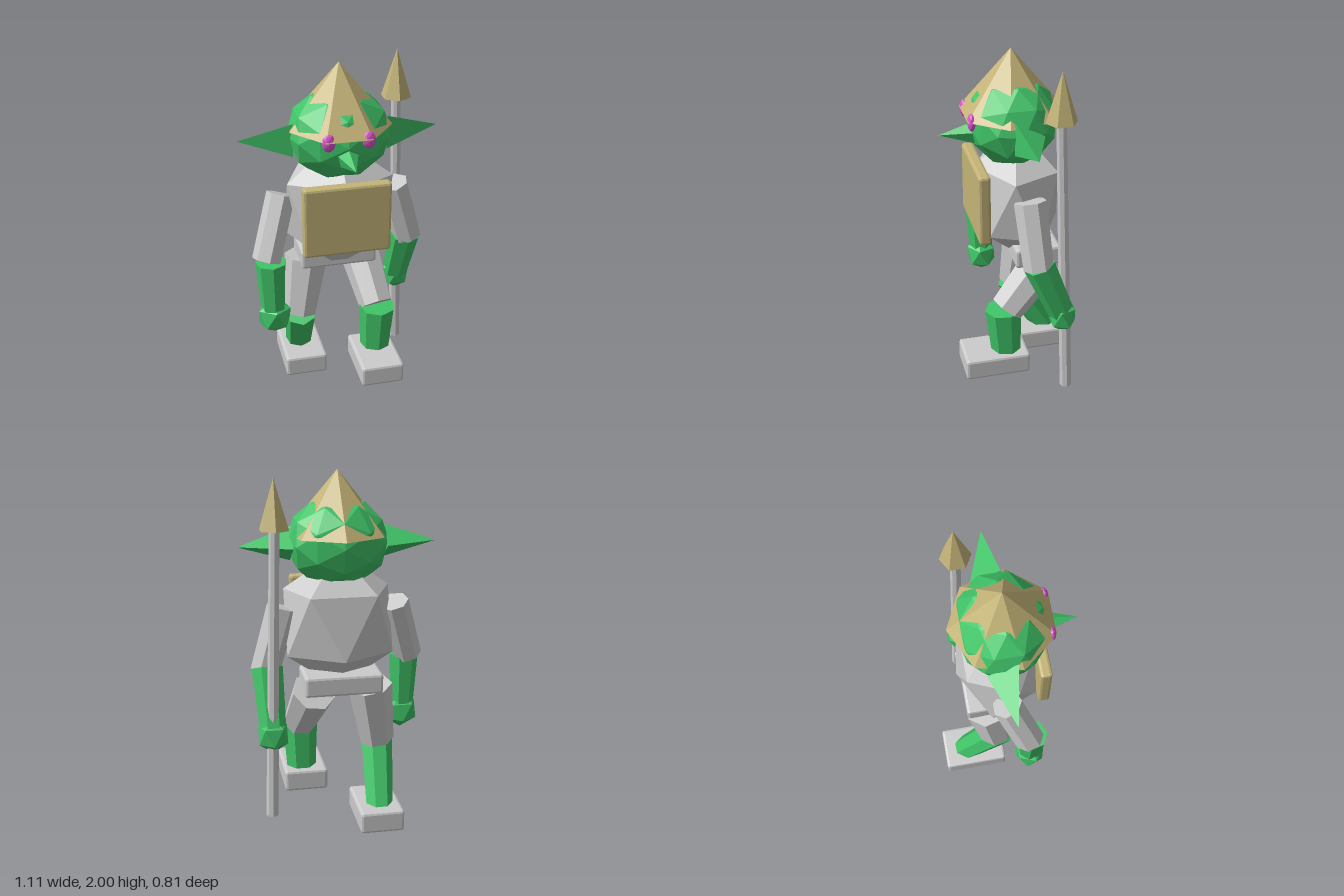
import * as THREE from 'three';
import { RoundedBoxGeometry } from 'three/addons/geometries/RoundedBoxGeometry.js';

const mat = (color) => new THREE.MeshStandardMaterial({ color, flatShading: true });

export function createModel() {
  const model = new THREE.Group();
  model.name = 'spearGoblin';
  const skin = mat(0x40c468), cloth = mat(0xcccccc), tan = mat(0xc4b478), eyeMat = mat(0xdd55cc);

  const add = (name, geometry, material, x, y, z) => {
    const mesh = new THREE.Mesh(geometry, material);
    mesh.name = name;
    mesh.position.set(x, y, z);
    model.add(mesh);
    return mesh;
  };
  const box = (name, w, h, d, material, x, y, z) =>
    add(name, new RoundedBoxGeometry(w, h, d, 1, 0.015), material, x, y, z);

  // Icosahedron standing on a corner, with an upper corner facing forward
  const gem = (rx, ry, rz) => new THREE.IcosahedronGeometry(1, 0)
    .rotateZ(Math.atan(2 / (1 + Math.sqrt(5)))).rotateY(Math.PI / 2).scale(rx, ry, rz);

  // Faceted, tapered cylinder between two points
  const limb = (name, a, b, ra, rb, material, sides = 7) => {
    const from = new THREE.Vector3(...a), to = new THREE.Vector3(...b);
    const dir = to.clone().sub(from);
    const mid = from.clone().add(to).multiplyScalar(0.5);
    const mesh = add(name, new THREE.CylinderGeometry(ra, rb, dir.length(), sides), material, mid.x, mid.y, mid.z);
    mesh.quaternion.setFromUnitVectors(new THREE.Vector3(0, 1, 0), dir.negate().normalize());
    return mesh;
  };

  // Head, hat and face
  add('head', new THREE.IcosahedronGeometry(1, 1).scale(0.29, 0.257, 0.25), skin, 0, 1.603, -0.005);
  add('hat', new THREE.ConeGeometry(0.29, 0.35, 7).rotateY(Math.PI), tan, 0, 1.825, 0);
  add('nose', new THREE.ConeGeometry(0.062, 0.19, 5).rotateY(Math.PI).rotateX(Math.PI / 2), skin, 0, 1.54, 0.305);
  for (const s of [-1, 1]) {
    const side = s > 0 ? 'left' : 'right';
    add(side + 'Ear', new THREE.ConeGeometry(0.11, 0.295, 3).rotateY(Math.PI).rotateZ(-s * Math.PI / 2),
      skin, s * 0.408, 1.592, -0.015);
    add(side + 'Eye', new THREE.IcosahedronGeometry(1, 1).scale(0.037, 0.05, 0.022), eyeMat, s * 0.108, 1.643, 0.238);
  }

  // Body
  add('torso', gem(0.353, 0.4, 0.265), cloth, 0, 1.158, -0.03);
  box('chestPlate', 0.49, 0.41, 0.066, tan, 0, 1.172, 0.198);
  box('belt', 0.44, 0.115, 0.26, cloth, 0, 0.833, -0.11);

  // Arms
  limb('rightUpperArm', [-0.32, 1.25, -0.03], [-0.43, 0.9, 0.08], 0.085, 0.085, cloth);
  limb('rightForearm', [-0.412, 0.9, 0.1], [-0.405, 0.58, 0.095], 0.088, 0.07, skin);
  add('rightHand', gem(0.106, 0.11, 0.095), skin, -0.4, 0.545, 0.095);
  limb('leftUpperArm', [0.32, 1.25, -0.03], [0.425, 0.89, -0.055], 0.09, 0.085, cloth);
  limb('leftForearm', [0.412, 0.91, -0.06], [0.4, 0.58, -0.195], 0.09, 0.075, skin);
  add('leftHand', gem(0.095, 0.11, 0.085), skin, 0.4, 0.56, -0.2);

  // Legs in mid stride
  limb('rightThigh', [-0.165, 0.79, -0.12], [-0.218, 0.44, -0.08], 0.13, 0.1, cloth);
  limb('rightShin', [-0.22, 0.45, -0.055], [-0.195, 0.08, -0.28], 0.095, 0.078, skin);
  box('rightFoot', 0.25, 0.125, 0.375, cloth, -0.19, 0.0625, -0.22);
  limb('leftThigh', [0.16, 0.79, -0.16], [0.21, 0.52, 0.075], 0.125, 0.1, cloth);
  limb('leftShin', [0.21, 0.52, 0.095], [0.205, 0.2, 0.075], 0.105, 0.085, skin);
  box('leftFoot', 0.25, 0.125, 0.375, cloth, 0.19, 0.185, 0.145);

  // Spear
  limb('spearShaft', [0.37, 1.72, -0.178], [0.417, 0.08, -0.228], 0.028, 0.035, cloth, 8);
  add('spearHead', new THREE.ConeGeometry(0.086, 0.275, 6), tan, 0.37, 1.85, -0.178);

  return model;
}
